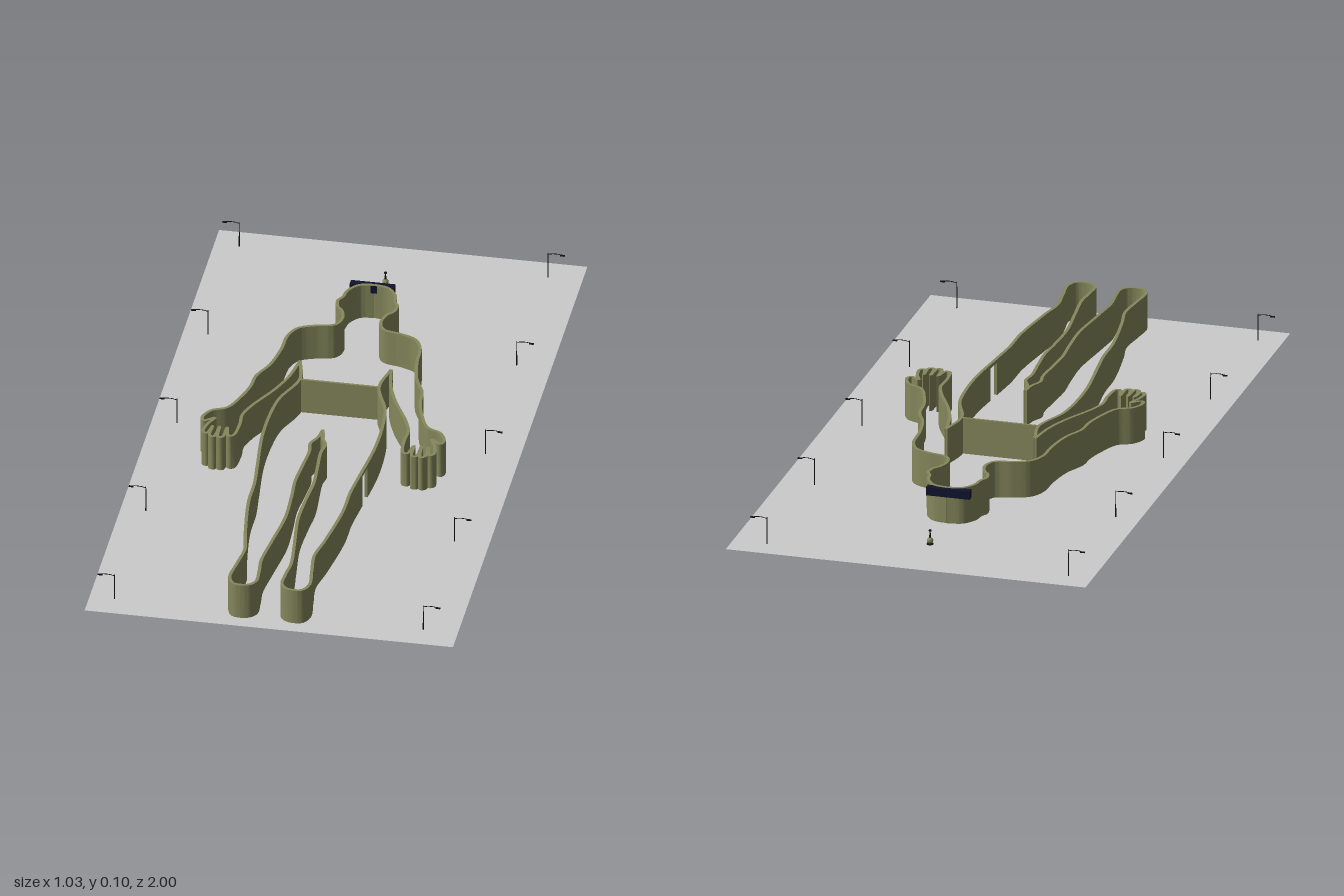
import * as THREE from 'three';
import { toCreasedNormals } from 'three/addons/utils/BufferGeometryUtils.js';

const MID = -0.017;      // midline of the figure
const WALL_H = 0.105;
const HALF_T = 0.0045;   // half of the wall thickness

const olive = new THREE.MeshStandardMaterial({ color: 0x85885c, side: THREE.DoubleSide });
const grey = new THREE.MeshStandardMaterial({ color: 0xcccccc, side: THREE.DoubleSide });
const black = new THREE.MeshStandardMaterial({ color: 0x111111 });
const navy = new THREE.MeshStandardMaterial({ color: 0x10142c });

// Half outlines as [distance from midline, z]
const headAndArm = [
  [0, -0.637], [0.04, -0.628], [0.066, -0.595], [0.073, -0.56], [0.083, -0.54], [0.078, -0.51],
  [0.063, -0.49], [0.054, -0.45], [0.068, -0.415], [0.12, -0.4], [0.163, -0.38], [0.184, -0.34],
  [0.19, -0.26], [0.205, -0.18], [0.232, -0.115], [0.237, -0.06], [0.253, 0], [0.28, 0.06],
  [0.32, 0.083], [0.338, 0.122], [0.33, 0.138], [0.303, 0.118],
  [0.318, 0.155], [0.322, 0.195], [0.311, 0.2], [0.301, 0.16],
  [0.301, 0.21], [0.289, 0.215], [0.282, 0.16],
  [0.277, 0.213], [0.265, 0.213], [0.261, 0.16],
  [0.25, 0.202], [0.238, 0.2], [0.23, 0.14], [0.232, 0.09],
  [0.216, 0.04], [0.169, -0.055], [0.142, -0.13], [0.127, -0.215],
];
const torsoAndLeg = [
  [0.127, -0.215], [0.111, -0.12], [0.148, -0.01], [0.158, 0.08], [0.158, 0.19], [0.142, 0.35],
  [0.134, 0.43], [0.132, 0.53], [0.111, 0.69], [0.097, 0.77], [0.105, 0.85], [0.111, 0.92],
  [0.095, 0.95], [0.055, 0.95], [0.037, 0.93], [0.037, 0.88], [0.042, 0.82], [0.032, 0.72],
  [0.018, 0.59], [0.021, 0.48], [0.026, 0.4], [0.021, 0.32], [0.016, 0.24], [0.021, 0.2],
  [0.006, 0.165], [0, 0.125],
];

// Smooth path through a half outline, on the given side of the midline
function sample(points, side, count) {
  const pts = points.map(([x, z]) => new THREE.Vector3(MID + side * x, 0, z));
  return new THREE.CatmullRomCurve3(pts, false, 'centripetal').getSpacedPoints(count);
}

// Upright wall following a path, with a rectangular section
function wallGeometry(path, y0, y1) {
  const pos = [], index = [];
  path.forEach((p, i) => {
    const a = path[Math.max(i - 1, 0)], b = path[Math.min(i + 1, path.length - 1)];
    const t = b.clone().sub(a).normalize();
    const nx = t.z * HALF_T, nz = -t.x * HALF_T;
    pos.push(p.x + nx, y0, p.z + nz, p.x + nx, y1, p.z + nz,
      p.x - nx, y1, p.z - nz, p.x - nx, y0, p.z - nz);
    if (i === 0) return;
    for (let k = 0; k < 4; k++) {
      const c = i * 4 + k, d = i * 4 + (k + 1) % 4;
      index.push(c - 4, c, d, c - 4, d, d - 4);
    }
  });
  const e = (path.length - 1) * 4;
  index.push(0, 1, 2, 0, 2, 3, e, e + 2, e + 1, e, e + 3, e + 2);
  const g = new THREE.BufferGeometry();
  g.setAttribute('position', new THREE.Float32BufferAttribute(pos, 3));
  g.setIndex(index);
  return toCreasedNormals(g, 0.9);
}

function add(parent, name, geometry, material, x = 0, y = 0, z = 0) {
  const mesh = new THREE.Mesh(geometry, material);
  mesh.name = name;
  mesh.position.set(x, y, z);
  parent.add(mesh);
  return mesh;
}

// Street lamp with a curved arm reaching outwards
function streetLamp(x, z, side) {
  const lamp = new THREE.Group();
  lamp.name = 'streetLamp';
  add(lamp, 'lampPole', new THREE.CylinderGeometry(0.0012, 0.0016, 0.078, 8), black, 0, 0.039, 0);
  const arm = new THREE.CatmullRomCurve3([
    new THREE.Vector3(0, 0.074, 0), new THREE.Vector3(side * 0.015, 0.077, 0),
    new THREE.Vector3(side * 0.03, 0.077, 0), new THREE.Vector3(side * 0.04, 0.075, 0),
  ]);
  add(lamp, 'lampArm', new THREE.TubeGeometry(arm, 10, 0.001, 6), black);
  add(lamp, 'lampHead', new THREE.BoxGeometry(0.013, 0.003, 0.005), black, side * 0.041, 0.074, 0);
  lamp.position.set(x, 0, z);
  return lamp;
}

export function createModel() {
  const model = new THREE.Group();
  model.name = 'bodyShapedBuilding';

  // Ground sheet
  add(model, 'ground', new THREE.PlaneGeometry(1.03, 2).rotateX(-Math.PI / 2), grey, -0.004, 0, 0);

  // Outline walls, one half per side
  for (const side of [-1, 1]) {
    add(model, 'headAndArmWall', wallGeometry(sample(headAndArm, side, 420), 0, WALL_H), olive);
    const leg = sample(torsoAndLeg, side, 400);
    if (side < 0) {
      add(model, 'torsoAndLegWall', wallGeometry(leg, 0, WALL_H), olive);
    } else {
      // Doorway in the outer wall of the left leg
      const a = leg.findIndex(p => p.z >= 0.28), b = leg.findIndex(p => p.z >= 0.326);
      add(model, 'torsoWall', wallGeometry(leg.slice(0, a + 1), 0, WALL_H), olive);
      add(model, 'doorLintel', wallGeometry(leg.slice(a, b + 1), 0.095, WALL_H), olive);
      add(model, 'legWall', wallGeometry(leg.slice(b), 0, WALL_H), olive);
    }
  }

  // Cross wall at the waist
  add(model, 'waistWall', new THREE.BoxGeometry(0.222, WALL_H, 0.007), olive, MID, WALL_H / 2, -0.12);

  // Blank sign board at the top of the head
  add(model, 'signBoard', new THREE.BoxGeometry(0.125, 0.024, 0.02), navy, -0.022, 0.092, -0.641);

  // Small ornament on the approach
  const ornament = new THREE.Group();
  ornament.name = 'ornament';
  add(ornament, 'ornamentBase', new THREE.CylinderGeometry(0.008, 0.01, 0.004, 16), black, 0, 0.002, 0);
  add(ornament, 'ornamentBowl', new THREE.SphereGeometry(0.009, 16, 10), olive, 0, 0.011, 0);
  add(ornament, 'ornamentStem', new THREE.CylinderGeometry(0.0015, 0.003, 0.022, 8), black, 0, 0.028, 0);
  add(ornament, 'ornamentTop', new THREE.SphereGeometry(0.004, 10, 8), black, 0, 0.04, 0);
  ornament.position.set(MID, 0, -0.805);
  model.add(ornament);

  // Street lamps along both long edges
  for (const z of [-0.928, -0.465, 0, 0.462, 0.925]) {
    model.add(streetLamp(-0.449, z, -1), streetLamp(0.414, z, 1));
  }
  return model;
}
